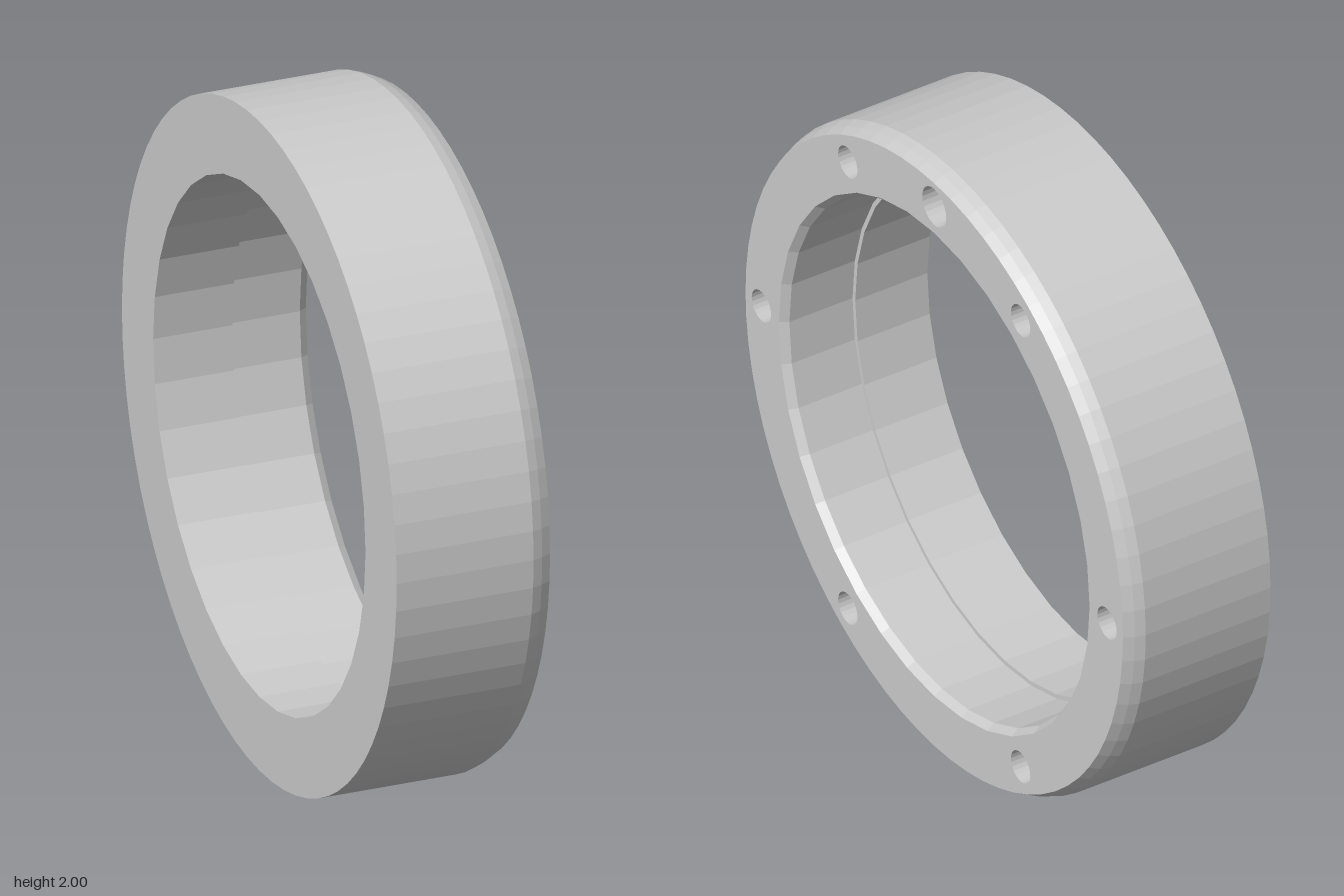
import * as THREE from 'three';

const OUTER_SEGS = 72, INNER_SEGS = 36, HOLE_SEGS = 24;
const FRONT = 0.235, BACK = -0.24, HOLE_CIRCLE = 0.893;

const material = new THREE.MeshStandardMaterial({ color: 0xcccccc, flatShading: true });

// Points of a regular polygon
function circle(radius, segs, cx = 0, cy = 0) {
  return Array.from({ length: segs }, (_, i) => {
    const a = (i / segs) * Math.PI * 2;
    return new THREE.Vector2(cx + radius * Math.cos(a), cy + radius * Math.sin(a));
  });
}

// Surface of revolution about the x axis; profile entries are [radius, x]
function revolve(name, profile, segs) {
  const geometry = new THREE.LatheGeometry(profile.map(([r, x]) => new THREE.Vector2(r, x)), segs);
  geometry.rotateZ(-Math.PI / 2);
  const mesh = new THREE.Mesh(geometry, material);
  mesh.name = name;
  return mesh;
}

// Flat annular face at a given x, turned toward +x or -x
function ringFace(name, outer, inner, x, direction, holes = []) {
  const shape = new THREE.Shape(circle(outer, OUTER_SEGS));
  shape.holes.push(new THREE.Path(circle(inner, INNER_SEGS)));
  for (const h of holes) shape.holes.push(new THREE.Path(circle(h.radius, HOLE_SEGS, h.u, h.v)));
  const geometry = new THREE.ShapeGeometry(shape);
  geometry.rotateY(direction * Math.PI / 2);
  geometry.translate(x, 0, 0);
  const mesh = new THREE.Mesh(geometry, material);
  mesh.name = name;
  return mesh;
}

export function createModel() {
  const model = new THREE.Group();
  model.name = 'drilledRing';

  // Six bolt holes around the face and a larger one at the top
  const holes = [];
  for (let i = 0; i < 6; i++) holes.push({ name: 'boltHole', angle: i * Math.PI / 3, radius: 0.05, depth: 0.2 });
  holes.push({ name: 'topHole', angle: Math.PI / 2, radius: 0.062, depth: 0.2 });
  for (const h of holes) {
    h.u = HOLE_CIRCLE * Math.cos(h.angle);
    h.v = HOLE_CIRCLE * Math.sin(h.angle);
  }

  // Outer wall with chamfered front edge
  model.add(revolve('outerWall', [[1, BACK], [1, 0.175], [0.99, 0.205], [0.975, FRONT]], OUTER_SEGS));

  // Bore: entry chamfer, wide front part, small step, narrower back part
  model.add(revolve('bore',
    [[0.803, FRONT], [0.787, 0.21], [0.787, 0], [0.773, 0], [0.773, BACK]], INNER_SEGS));

  // End faces
  model.add(ringFace('frontFace', 0.975, 0.803, FRONT, 1, holes));
  model.add(ringFace('backFace', 1, 0.773, BACK, -1));

  // Blind holes with conical drill tips
  for (const h of holes) {
    const hole = revolve(h.name, [
      [h.radius, FRONT],
      [h.radius, FRONT - h.depth],
      [0, FRONT - h.depth - h.radius * 0.6],
    ], HOLE_SEGS);
    hole.position.set(0, h.v, -h.u);
    model.add(hole);
  }

  // Stand the ring on the ground
  for (const part of model.children) part.position.y += 1;
  return model;
}
